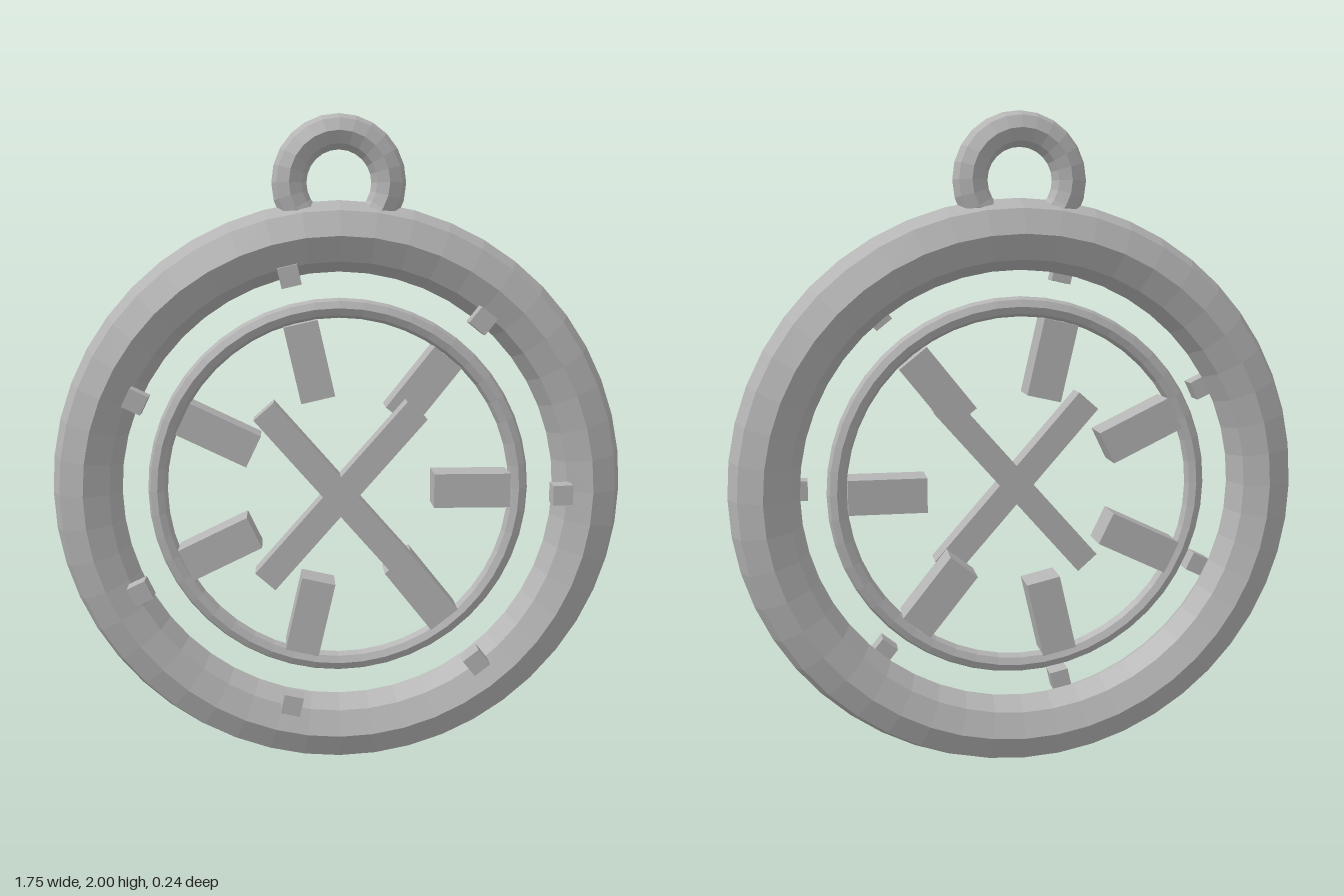
import * as THREE from 'three';

const CENTRE_Y = 0.876;
const MID_Z = -0.015;

export function createModel() {
  const model = new THREE.Group();
  model.name = 'dialPendant';

  const metal = new THREE.MeshStandardMaterial({ color: 0xb4b4b4 });
  metal.name = 'grey metal';
  metal.flatShading = true;

  const dial = new THREE.Group();
  dial.name = 'dial';
  dial.position.set(0, CENTRE_Y, MID_Z);
  model.add(dial);

  const add = (parent, name, geometry) => {
    const mesh = new THREE.Mesh(geometry, metal);
    mesh.name = name;
    parent.add(mesh);
    return mesh;
  };

  // Faceted rings: heavy outer case and slim inner ring
  add(dial, 'outerRing', new THREE.TorusGeometry(0.769, 0.105, 8, 48));
  add(dial, 'innerRing', new THREE.TorusGeometry(0.556, 0.03, 8, 48));

  // Hanging loop, its lower part sunk into the case
  const loop = add(model, 'hangingLoop', new THREE.TorusGeometry(0.148, 0.052, 8, 24));
  loop.position.set(0, 1.8, MID_Z);

  // Seven spokes and seven small studs, evenly spaced
  const spokeGeometry = new THREE.BoxGeometry(0.235, 0.105, 0.11);
  const studGeometry = new THREE.BoxGeometry(0.06, 0.06, 0.06);
  for (let i = 0; i < 7; i++) {
    const angle = (i / 7) * Math.PI * 2;
    const place = (mesh, radius, z) => {
      mesh.position.set(Math.cos(angle) * radius, Math.sin(angle) * radius, z);
      mesh.rotation.z = angle;
    };
    place(add(dial, `spoke${i + 1}`, spokeGeometry), 0.407, 0);
    place(add(dial, `stud${i + 1}`, studGeometry), 0.67, 0.105);
  }

  // Two crossed bars in front of the spokes
  const barGeometry = new THREE.BoxGeometry(0.69, 0.08, 0.08);
  for (const side of [-1, 1]) {
    const bar = add(dial, side < 0 ? 'fallingCrossBar' : 'risingCrossBar', barGeometry);
    bar.position.z = 0.09;
    bar.rotation.z = side * 0.85;
  }

  return model;
}
